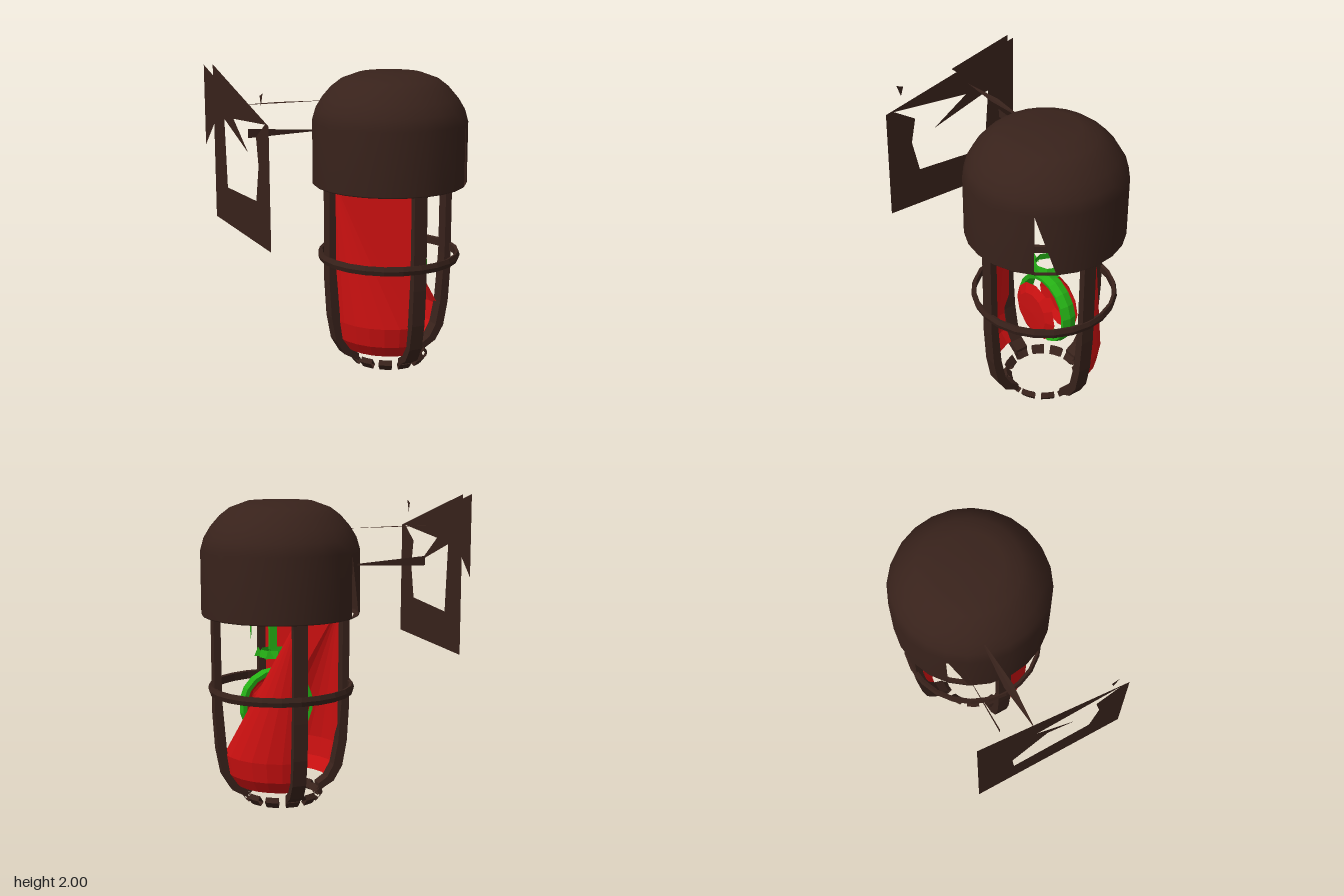
import * as THREE from 'three';

const CX = 0.29; // axis of the lamp body
const mat = (color, flat = true) =>
  new THREE.MeshStandardMaterial({ color, flatShading: flat, side: THREE.DoubleSide });
const brown = mat(0x38221b), brownSmooth = mat(0x38221b, false);
const red = mat(0xc81010), green = mat(0x25b015);
const v2 = (pts) => pts.map(([x, y]) => new THREE.Vector2(x, y));

function add(parent, name, geometry, material, x = 0, y = 0, z = 0) {
  const mesh = new THREE.Mesh(geometry, material);
  mesh.name = name;
  mesh.position.set(x, y, z);
  parent.add(mesh);
  return mesh;
}

// Flat sheet or fan from points and triangle indices
function surface(points, index) {
  const g = new THREE.BufferGeometry();
  g.setAttribute('position', new THREE.Float32BufferAttribute(points.flat(), 3));
  g.setIndex(index);
  g.computeVertexNormals();
  return g;
}

// Quarter of the broken glass: a fan from one top corner down to the curved foot
function glassQuarter(from, to, closed) {
  const n = 6, pts = [], idx = [];
  const at = (r, y, a) => [r * Math.cos(a), y, r * Math.sin(a)];
  const rings = [[0.385, 0.33], [0.365, 0.2], [0.31, 0.12]];
  pts.push(at(0.395, 1.26, from));
  for (const [r, y] of rings)
    for (let i = 0; i <= n; i++) pts.push(at(r, y, from + (to - from) * i / n));
  for (let i = 0; i < n; i++) {
    idx.push(0, 1 + i, 2 + i);
    for (let k = 0; k < 2; k++) {
      const a = 1 + k * (n + 1) + i, b = a + n + 1;
      idx.push(a, b, a + 1, a + 1, b, b + 1);
    }
  }
  if (closed) { // large upper pane
    pts.push(at(0.395, 1.26, to));
    idx.push(0, n + 1, pts.length - 1);
  }
  return surface(pts, idx);
}

export function createModel() {
  const model = new THREE.Group();
  model.name = 'wallLamp';
  const lamp = new THREE.Group();
  lamp.name = 'lampBody';
  lamp.position.x = CX;
  model.add(lamp);

  // Domed cap, open below, with a three-cornered gap in the skirt on two opposite sides
  const capProfile = v2([[0.47, 1.225], [0.5, 1.225], [0.51, 1.235], [0.51, 1.64], [0.487, 1.72],
    [0.445, 1.79], [0.385, 1.86], [0.32, 1.91], [0.21, 1.95], [0, 1.955]]);
  const cap = new THREE.LatheGeometry(capProfile, 24);
  const capIndex = Array.from(cap.index.array);
  for (const segment of [15, 3]) capIndex.splice((segment * (capProfile.length - 1) + 2) * 6, 3);
  cap.setIndex(capIndex);
  add(lamp, 'cap', cap, brownSmooth);

  // Four curved cage bars
  const barShape = new THREE.Shape(v2([[0.452, 1.26], [0.452, 0.6], [0.437, 0.36], [0.405, 0.19],
    [0.345, 0.09], [0.24, 0.03], [0.24, 0.08], [0.3, 0.12], [0.345, 0.2], [0.378, 0.36],
    [0.405, 0.7], [0.408, 1.26]]));
  const barGeo = new THREE.ExtrudeGeometry(barShape, { depth: 0.09, bevelEnabled: false });
  barGeo.translate(0, 0, -0.045);
  for (let i = 0; i < 4; i++)
    add(lamp, 'cageBar', barGeo, brown).rotation.y = i * Math.PI / 2;

  // Middle hoop
  const hoop = v2([[0.445, 0.72], [0.465, 0.715], [0.475, 0.745], [0.465, 0.775], [0.445, 0.77], [0.445, 0.72]]);
  add(lamp, 'cageHoop', new THREE.LatheGeometry(hoop, 24), brown);

  // Bottom hoop, broken into short pieces
  const foot = v2([[0.21, 0.02], [0.24, 0], [0.27, 0.04], [0.25, 0.07], [0.21, 0.02]]);
  for (let i = 0; i < 12; i++)
    add(lamp, 'footHoopPiece', new THREE.LatheGeometry(foot, 2, i * Math.PI / 6 - 0.17, 0.34), brown);

  // Two remaining quarters of glass
  add(lamp, 'glassFront', glassQuarter(Math.PI, Math.PI / 2, true), red);
  add(lamp, 'glassBack', glassQuarter(-Math.PI / 2, 0, false), red);

  // Bulb: two shallow lenses either side of a ring
  const bulb = new THREE.Group();
  bulb.name = 'bulb';
  bulb.position.set(0.035, 0.635, 0);
  lamp.add(bulb);
  const lens = new THREE.LatheGeometry(v2([[0.2, 0.095], [0.14, 0.125], [0, 0.128]]), 12);
  for (const side of [1, -1])
    add(bulb, 'bulbLens', lens, red).rotation.x = side * Math.PI / 2;
  const band = v2([[0.208, -0.045], [0.235, -0.05], [0.248, 0], [0.235, 0.05], [0.208, 0.045], [0.208, -0.045]]);
  add(bulb, 'bulbRing', new THREE.LatheGeometry(band, 18), green).rotation.x = Math.PI / 2;

  // Bulb holder: stem, splinters and foot pieces
  add(lamp, 'holderStem', new THREE.BoxGeometry(0.05, 0.34, 0.03), green, 0.07, 1.18, -0.055);
  add(lamp, 'holderNeck', new THREE.CylinderGeometry(0.09, 0.1, 0.05, 8, 1, true), green, 0.045, 0.975, 0);
  for (const [x, z] of [[0.2, 0], [0.04, 0.155]]) {
    const splinter = new THREE.ConeGeometry(0.012, 0.18, 4);
    add(lamp, 'holderSplinter', splinter, green, x, 1.15, z).rotation.x = Math.PI;
  }
  for (let i = 0; i < 5; i++) {
    const a = i * Math.PI * 0.4 + 0.3;
    add(lamp, 'holderFoot', new THREE.ConeGeometry(0.035, 0.06, 3), green,
      0.04 + 0.11 * Math.cos(a), 0.985, 0.11 * Math.sin(a));
  }

  // Wall plate with a ragged opening, drawn as (-z, y) and turned to face sideways
  const sheet = (name, shape, x) =>
    add(model, name, new THREE.ShapeGeometry(shape), brown, x).rotation.y = Math.PI / 2;
  const plate = new THREE.Shape(v2([[-0.51, 0.99], [0.51, 0.99], [0.51, 2], [-0.5, 1.74]]));
  plate.holes.push(new THREE.Path(v2([[-0.285, 1.645], [-0.32, 1.475], [-0.27, 1.253], [0.263, 1.232],
    [0.3, 1.673], [-0.14, 1.527], [0.12, 1.698], [-0.44, 1.742]])));
  sheet('wallPlate', plate, -0.74);
  // Torn remains of the plate's outer face
  sheet('plateOuterShard', new THREE.Shape(v2([[0.51, 1.48], [0.51, 2], [0.05, 1.88]])), -0.8);
  sheet('plateChip', new THREE.Shape(v2([[-0.41, 1.92], [-0.36, 1.9], [-0.38, 1.84]])), -0.74);

  // Two thin arms between plate and cap
  add(model, 'upperArm', surface([[-0.73, 1.78, -0.13], [-0.43, 1.78, -0.107], [-0.08, 1.775, -0.135],
    [-0.43, 1.78, -0.163]], [0, 1, 2, 0, 2, 3]), brown);
  add(model, 'lowerArm', surface([[-0.59, 1.6, -0.28], [-0.59, 1.54, -0.28], [-0.1, 1.555, -0.28],
    [-0.1, 1.562, -0.28]], [0, 1, 2, 0, 2, 3]), brown);

  return model;
}
